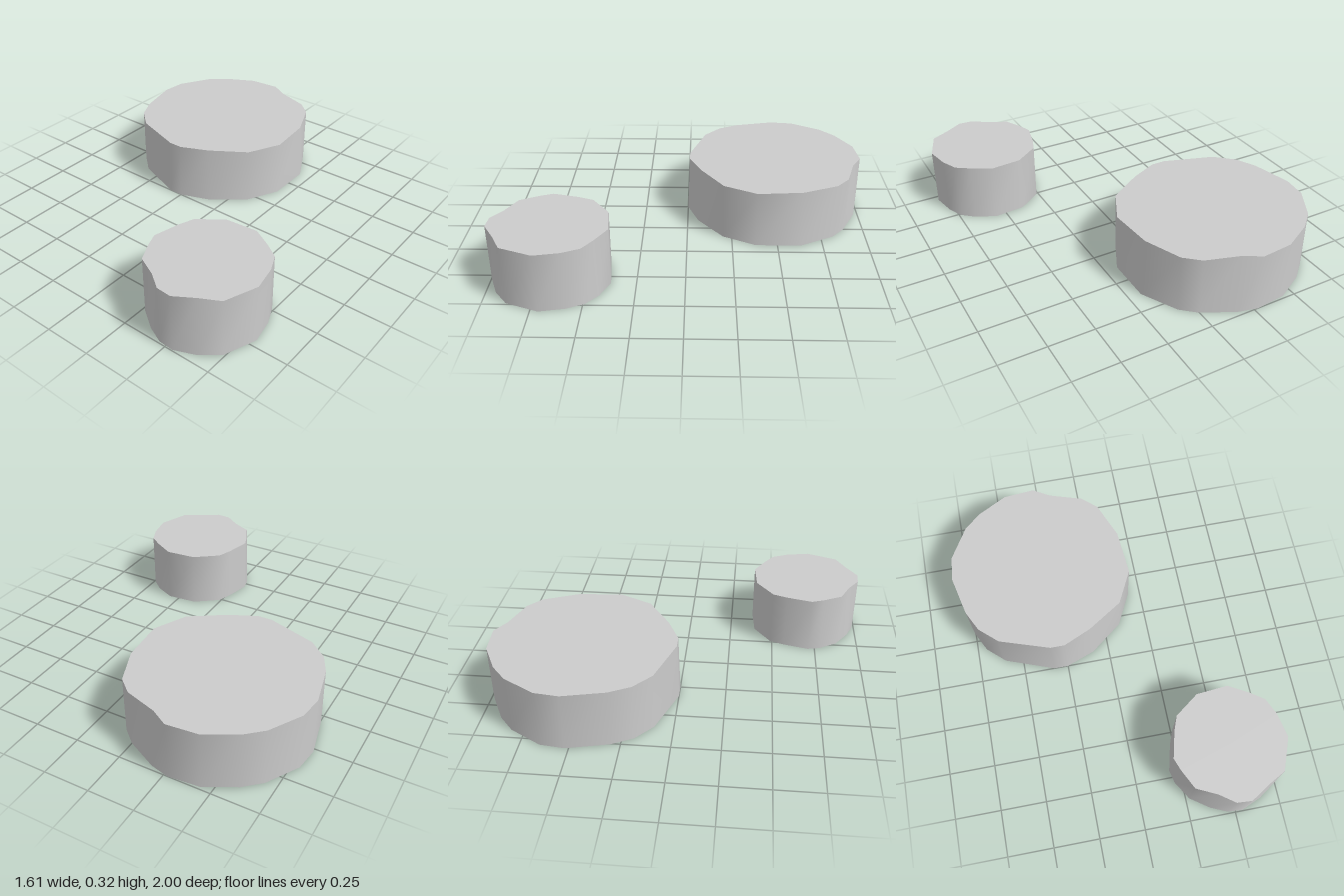
import * as THREE from 'three';
import { toCreasedNormals } from 'three/addons/utils/BufferGeometryUtils.js';

const HEIGHT = 0.32;

// Irregular puck: each outline point is [x, z, how far its top corner leans inward]
function puck(name, outline, cx, cz) {
  const rings = [0, HEIGHT].map((y, level) =>
    outline.map(([x, z, lean = 0]) => {
      const k = 1 - (level * lean) / Math.hypot(x - cx, z - cz);
      return [cx + (x - cx) * k, y, cz + (z - cz) * k];
    }));
  const [bottom, top] = rings;
  const pos = [];
  const tri = (...corners) => corners.forEach((c) => pos.push(...c));
  for (let i = 0; i < outline.length; i++) {
    const j = (i + 1) % outline.length;
    // wall
    tri(bottom[j], bottom[i], top[i]);
    tri(bottom[j], top[i], top[j]);
    // caps
    tri([cx, HEIGHT, cz], top[j], top[i]);
    tri([cx, 0, cz], bottom[i], bottom[j]);
  }
  const geometry = new THREE.BufferGeometry();
  geometry.setAttribute('position', new THREE.Float32BufferAttribute(pos, 3));
  const mesh = new THREE.Mesh(
    toCreasedNormals(geometry, 1.0),
    new THREE.MeshStandardMaterial({ color: 0xcccccc }));
  mesh.name = name;
  return mesh;
}

export function createModel() {
  const group = new THREE.Group();
  group.name = 'twoDiscs';

  // Wide disc at the back
  group.add(puck('largeDisc', [
    [-0.44, -0.985], [-0.27, -1], [-0.17, -0.975, 0.03], [0, -0.89], [0.08, -0.82],
    [0.18, -0.63, 0.02], [0.18, -0.38], [0.09, -0.2], [-0.09, -0.06, 0.02],
    [-0.25, 0, 0.01], [-0.33, 0, 0.01], [-0.6, -0.1], [-0.7, -0.19], [-0.755, -0.3],
    [-0.805, -0.52], [-0.79, -0.65], [-0.69, -0.82], [-0.6, -0.9],
  ], -0.31, -0.5));

  // Narrow disc at the front
  group.add(puck('smallDisc', [
    [0.39, 0.395], [0.56, 0.38], [0.67, 0.43, 0.01], [0.74, 0.49], [0.78, 0.58],
    [0.805, 0.71], [0.74, 0.88], [0.65, 0.95, 0.02], [0.54, 0.995], [0.46, 0.99],
    [0.37, 0.95, 0.02], [0.27, 0.88], [0.21, 0.78, 0.01], [0.195, 0.71],
    [0.23, 0.57], [0.26, 0.49],
  ], 0.5, 0.69));

  return group;
}
